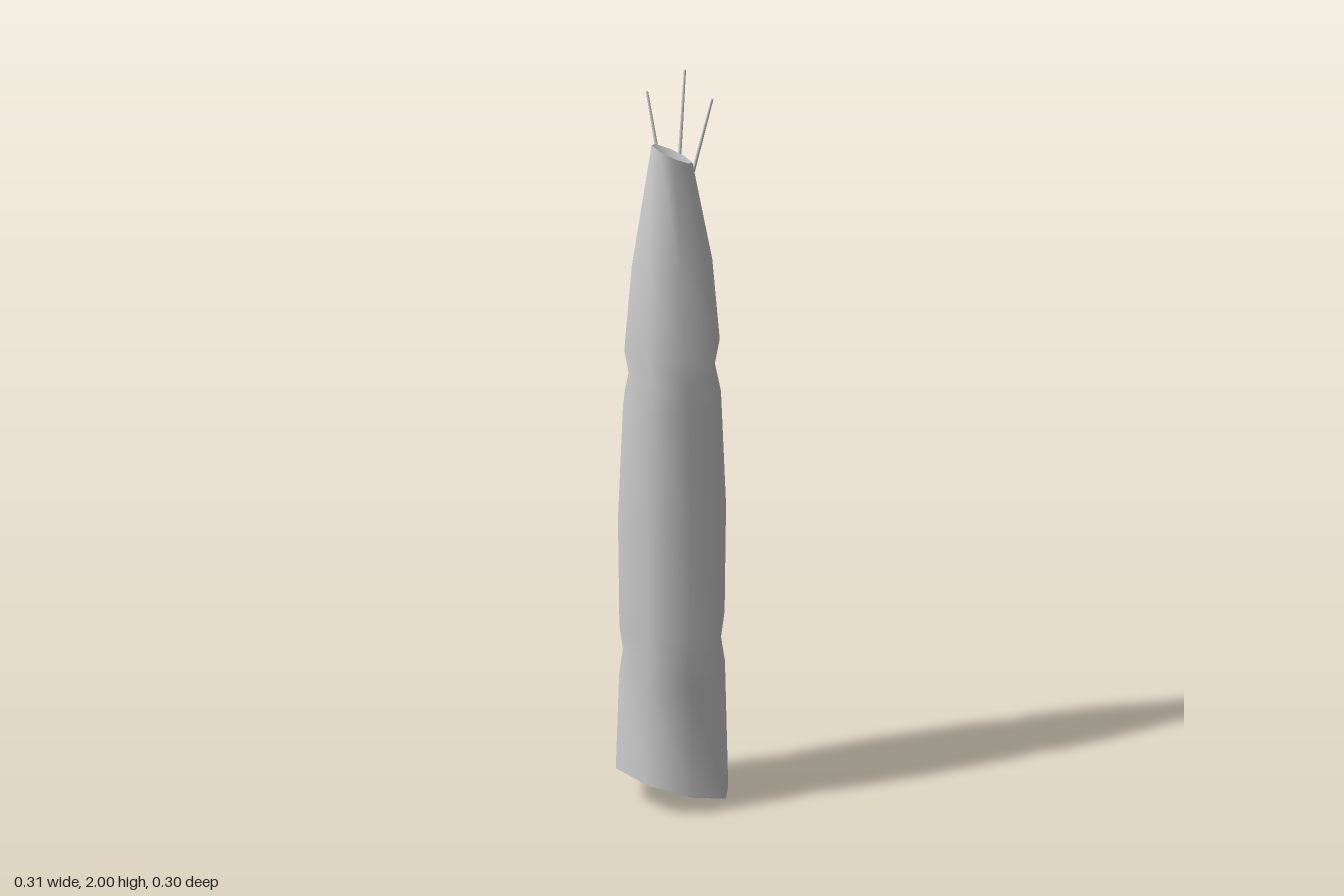
import * as THREE from 'three';

const SIDES = 8;

// Loft closed rings of points (listed bottom to top) into a smooth skin
function loft(rings) {
  const pos = rings.flat().flatMap((p) => [p.x, p.y, p.z]);
  const index = [];
  for (let r = 0; r < rings.length - 1; r++) {
    for (let i = 0; i < SIDES; i++) {
      const a = r * SIDES + i, b = r * SIDES + (i + 1) % SIDES;
      index.push(a, a + SIDES, b, b, a + SIDES, b + SIDES);
    }
  }
  return finish(pos, index);
}

// Fan from a centre point to a ring
function fan(ring, centre, up) {
  const pos = [centre, ...ring].flatMap((p) => [p.x, p.y, p.z]);
  const index = [];
  for (let i = 0; i < SIDES; i++) {
    const a = 1 + i, b = 1 + (i + 1) % SIDES;
    index.push(0, up ? b : a, up ? a : b);
  }
  return finish(pos, index);
}

function finish(pos, index) {
  const g = new THREE.BufferGeometry();
  g.setAttribute('position', new THREE.Float32BufferAttribute(pos, 3));
  g.setIndex(index);
  g.computeVertexNormals();
  return g;
}

// Octagonal ring; slope tilts it along x, turn rotates it about y
function ring(y, radius, slope = 0, turn = 0) {
  return Array.from({ length: SIDES }, (_, i) => {
    const a = -(i / SIDES) * Math.PI * 2 + turn;
    const x = Math.cos(a) * radius;
    return new THREE.Vector3(x, y + slope * x, Math.sin(a) * radius * 0.965);
  });
}

export function createModel() {
  const group = new THREE.Group();
  const grey = new THREE.MeshStandardMaterial({ color: 0xcccccc, side: THREE.DoubleSide });
  const add = (name, geometry) => {
    const mesh = new THREE.Mesh(geometry, grey);
    mesh.name = name;
    group.add(mesh);
    return mesh;
  };

  // Segmented body: slanted foot, two pinched joints, tapering tip
  const rings = [
    ring(0.053, 0.156, -0.31),
    ring(0.36, 0.147),
    ring(0.43, 0.136),
    ring(0.5, 0.146),
    ring(0.8, 0.15),
    ring(1.12, 0.136),
    ring(1.2, 0.119),
    ring(1.27, 0.13, 0, 0.06),
    ring(1.5, 0.108, 0, 0.12),
    ring(1.806, 0.054, -0.52, 0.2),
  ];
  add('body', loft(rings));
  add('footCap', fan(rings[0], new THREE.Vector3(0, 0.053, 0), false));
  add('hollowTip', fan(rings[rings.length - 1], new THREE.Vector3(0, 1.785, 0), true));

  // Three thin bristles fanning out from the tip
  const bristles = [
    [[-0.015, 1.765, -0.056], [-0.03, 1.945, -0.107]],
    [[0.037, 1.765, -0.045], [0.068, 2.0, -0.087]],
    [[0.055, 1.745, 0.006], [0.107, 1.95, 0.013]],
  ];
  bristles.forEach(([from, to], i) => {
    const a = new THREE.Vector3(...from), b = new THREE.Vector3(...to);
    const dir = b.clone().sub(a);
    const bristle = add('bristle' + (i + 1), new THREE.CylinderGeometry(0.003, 0.0045, dir.length(), 6));
    bristle.position.copy(a).add(b).multiplyScalar(0.5);
    bristle.quaternion.setFromUnitVectors(new THREE.Vector3(0, 1, 0), dir.normalize());
  });
  return group;
}
